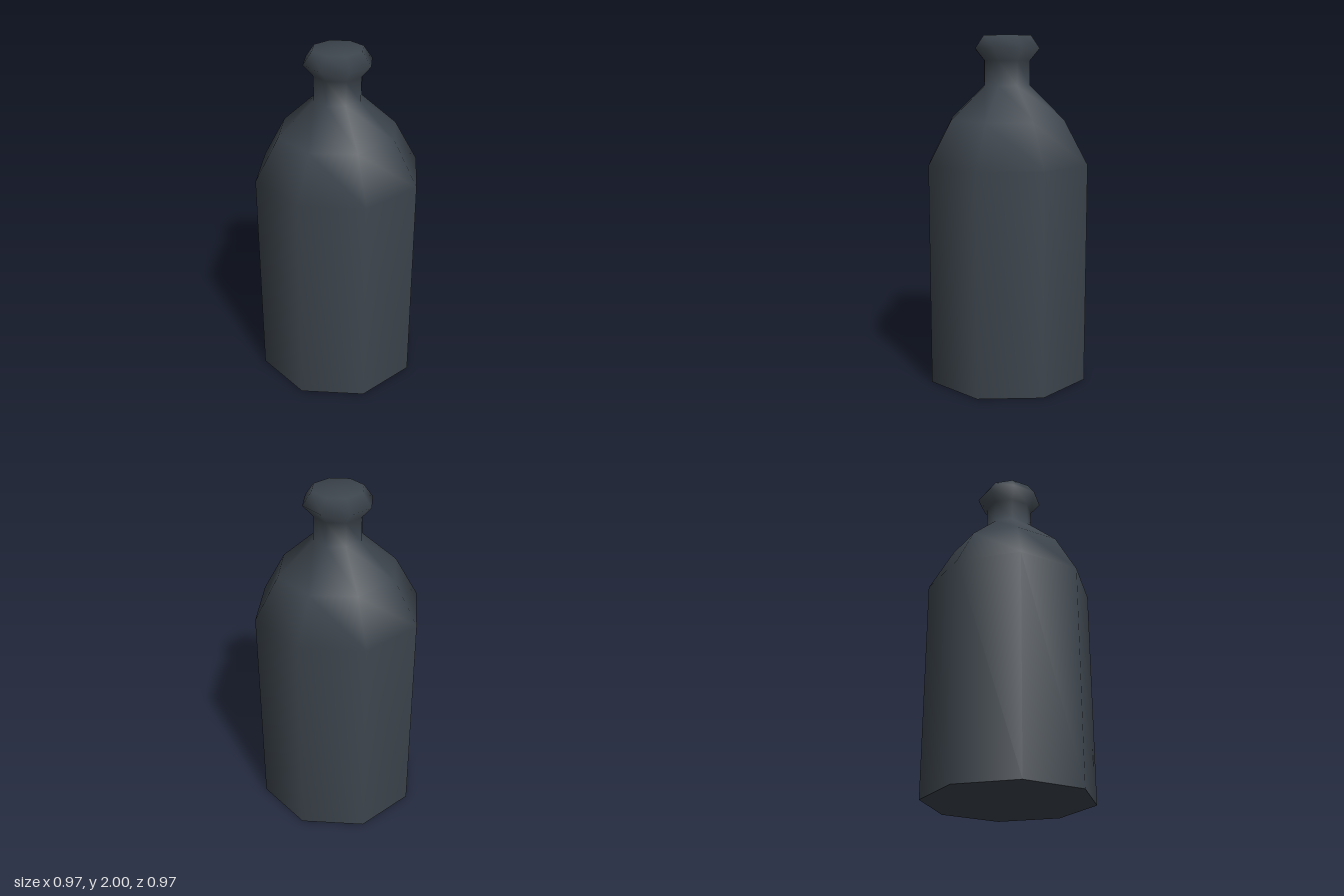
import * as THREE from 'three';

const SIDES = 8;

export function createModel() {
  const model = new THREE.Group();
  model.name = 'bottle';
  const glass = new THREE.MeshStandardMaterial({ color: 0x3c444c });
  glass.name = 'charcoal glass';

  // Body, sloped shoulders, neck, flared lip and closed top in one smooth profile
  const profile = [
    [0.485, 0], [0.485, 1.28], [0.345, 1.53], [0.14, 1.72],
    [0.14, 1.86], [0.197, 1.927], [0.145, 2], [0, 2],
  ].map(([r, y]) => new THREE.Vector2(r, y));
  const body = new THREE.Mesh(new THREE.LatheGeometry(profile, SIDES), glass);
  body.name = 'bottleBody';
  model.add(body);

  // Flat base with a sharp edge
  const base = new THREE.Mesh(new THREE.CircleGeometry(0.485, SIDES).rotateX(Math.PI / 2), glass);
  base.name = 'base';
  model.add(base);

  return model;
}
